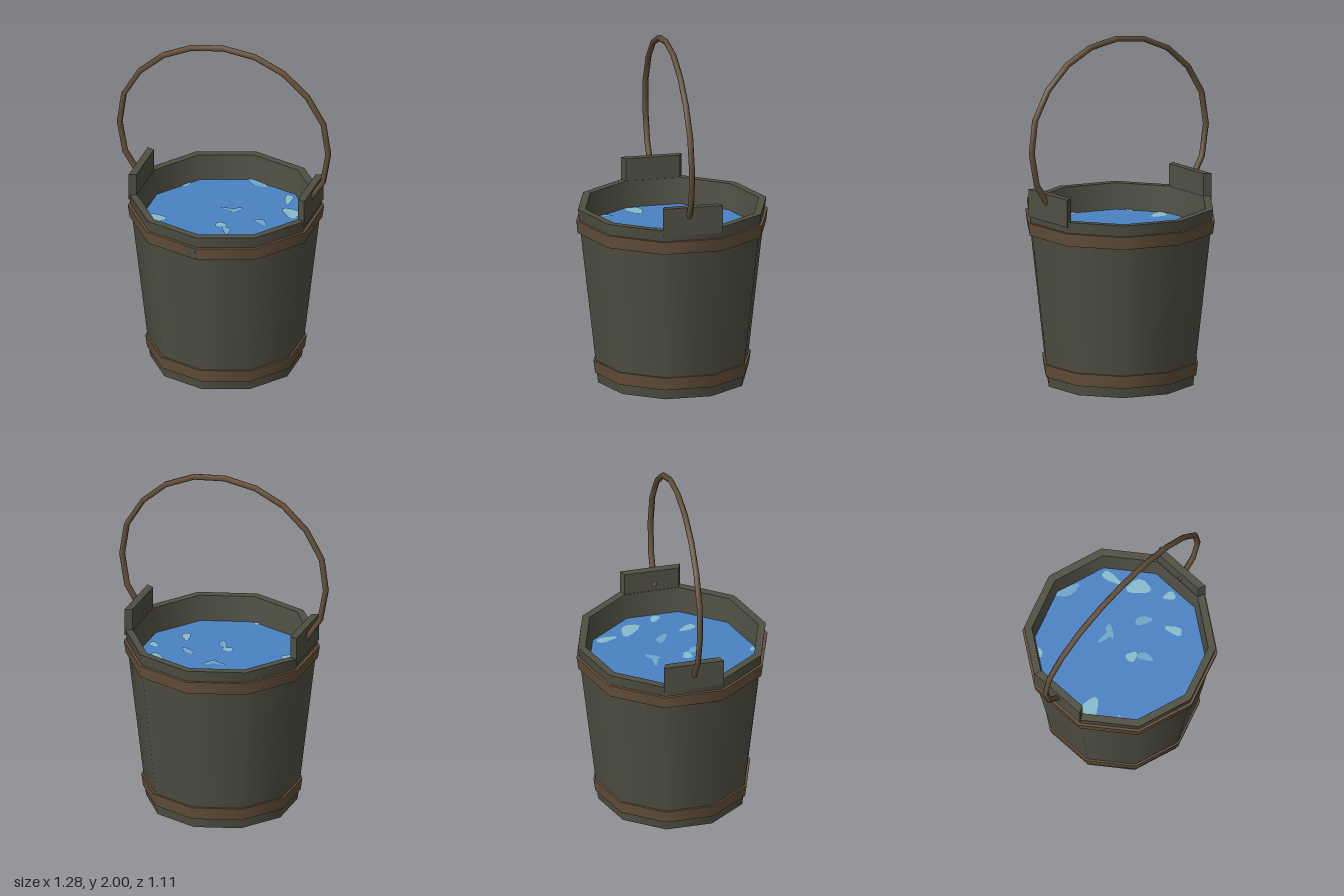
import * as THREE from 'three';

const SIDES = 10;
const OFFSET = 0.006; // the tub sits a touch off the handle's centre

function material(name, color) {
  const m = new THREE.MeshStandardMaterial({ color });
  m.name = name;
  return m;
}

export function createModel() {
  const group = new THREE.Group();
  const wood = material('dark wood', 0x504f43);
  const brown = material('brown band', 0x65503a);
  const blue = material('water blue', 0x4a82c4);
  const pale = material('pale glint', 0x88bbcb);
  const mid = material('soft glint', 0x70a6cb);

  const add = (name, geometry, mat, parent = group) => {
    const mesh = new THREE.Mesh(geometry, mat);
    mesh.name = name;
    parent.add(mesh);
    return mesh;
  };

  const tub = new THREE.Group();
  tub.name = 'tub';
  tub.position.x = OFFSET;
  group.add(tub);

  // One ten-sided surface per profile edge, so profile corners stay sharp
  const turned = (name, profile, mat) => {
    const part = new THREE.Group();
    part.name = name;
    tub.add(part);
    for (let i = 0; i < profile.length - 1; i++) {
      const pts = [profile[i], profile[i + 1]].map(([r, y]) => new THREE.Vector2(r, y));
      add(name + 'Face', new THREE.LatheGeometry(pts, SIDES), mat, part);
    }
  };

  // Base, outer wall, rim and inner wall
  turned('bucketBody', [[0, 0], [0.43, 0], [0.547, 1.03], [0.503, 1.03], [0.482, 0.86]], wood);
  turned('water', [[0.486, 0.88], [0, 0.88]], blue);

  // Bands
  turned('upperBand', [[0.525, 0.89], [0.546, 0.89], [0.556, 0.965], [0.53, 0.965]], brown);
  turned('lowerBand', [[0.43, 0.058], [0.447, 0.058], [0.457, 0.132], [0.435, 0.132]], brown);

  // Worn spot on the upper band, just beside the front corner
  const wear = new THREE.Group();
  wear.name = 'bandWear';
  wear.rotation.y = -Math.PI / SIDES;
  tub.add(wear);
  const spot = add('wornSpot', new THREE.BoxGeometry(0.075, 0.072, 0.003), wood, wear);
  spot.position.set(0.131, 0.928, 0.524);
  spot.rotation.x = 0.126;

  // Raised staves that hold the handle
  for (const side of [-1, 1]) {
    const shape = new THREE.Shape([
      new THREE.Vector2(0.481, -0.157), new THREE.Vector2(0.523, -0.175),
      new THREE.Vector2(0.523, 0.175), new THREE.Vector2(0.481, 0.157),
    ]);
    const geo = new THREE.ExtrudeGeometry(shape, { depth: 0.16, bevelEnabled: false });
    geo.rotateX(-Math.PI / 2);
    if (side < 0) geo.rotateY(Math.PI);
    geo.translate(0, 1.0, 0);
    add(side > 0 ? 'leftEar' : 'rightEar', geo, wood, tub);
  }

  // Glints on the water: x, z, half length, half width, turn, material
  const glints = [
    [0.05, -0.445, 0.075, 0.026, 0.4, mid], [0.275, -0.32, 0.06, 0.024, 1.4, pale],
    [0.34, -0.165, 0.068, 0.042, 0.8, pale], [0.0, -0.1, 0.055, 0.016, 0.1, mid],
    [0.035, -0.105, 0.045, 0.018, 2.1, mid], [0.21, -0.01, 0.05, 0.024, 0.6, mid],
    [0.42, 0.0, 0.035, 0.024, 0.7, pale], [-0.38, 0.13, 0.065, 0.046, 2.7, pale],
    [0.005, 0.09, 0.034, 0.028, 0.2, pale], [0.055, 0.145, 0.048, 0.022, 1.1, mid],
    [0.285, 0.16, 0.052, 0.024, 1.2, pale], [-0.315, 0.32, 0.048, 0.016, 1.7, mid],
    [-0.02, 0.463, 0.02, 0.014, 0.3, pale], [-0.328, -0.31, 0.03, 0.014, 2.1, pale],
  ];
  glints.forEach(([x, z, a, b, turn, mat], n) => {
    const pts = [];
    for (let i = 0; i < 12; i++) {
      const t = (i / 12) * Math.PI * 2;
      const k = 1 + 0.16 * Math.sin(3 * t + n * 1.7);
      pts.push(new THREE.Vector2(a * k * Math.cos(t), b * k * Math.sin(t)));
    }
    const geo = new THREE.ShapeGeometry(new THREE.Shape(pts));
    geo.rotateX(-Math.PI / 2);
    geo.rotateY(-turn);
    geo.translate(x - OFFSET, 0.884, z);
    add('glint', geo, mat, tub);
  });

  // Bail handle, leaning slightly forward
  const half = [[0.49, 1.06], [0.598, 1.235], [0.624, 1.41], [0.598, 1.59],
    [0.505, 1.75], [0.37, 1.875], [0.198, 1.957]];
  const lean = (x, y) => new THREE.Vector3(x, y, 0.01 + 0.024 * (y - 1.06) + 0.014 * x);
  const path = [
    ...half.map(([x, y]) => lean(-x, y - 0.005)),
    lean(0, 1.983),
    ...half.slice().reverse().map(([x, y]) => lean(x, y)),
  ];
  const curve = new THREE.CatmullRomCurve3(path);
  add('handle', new THREE.TubeGeometry(curve, 14, 0.017, 6, false), brown);

  return group;
}
